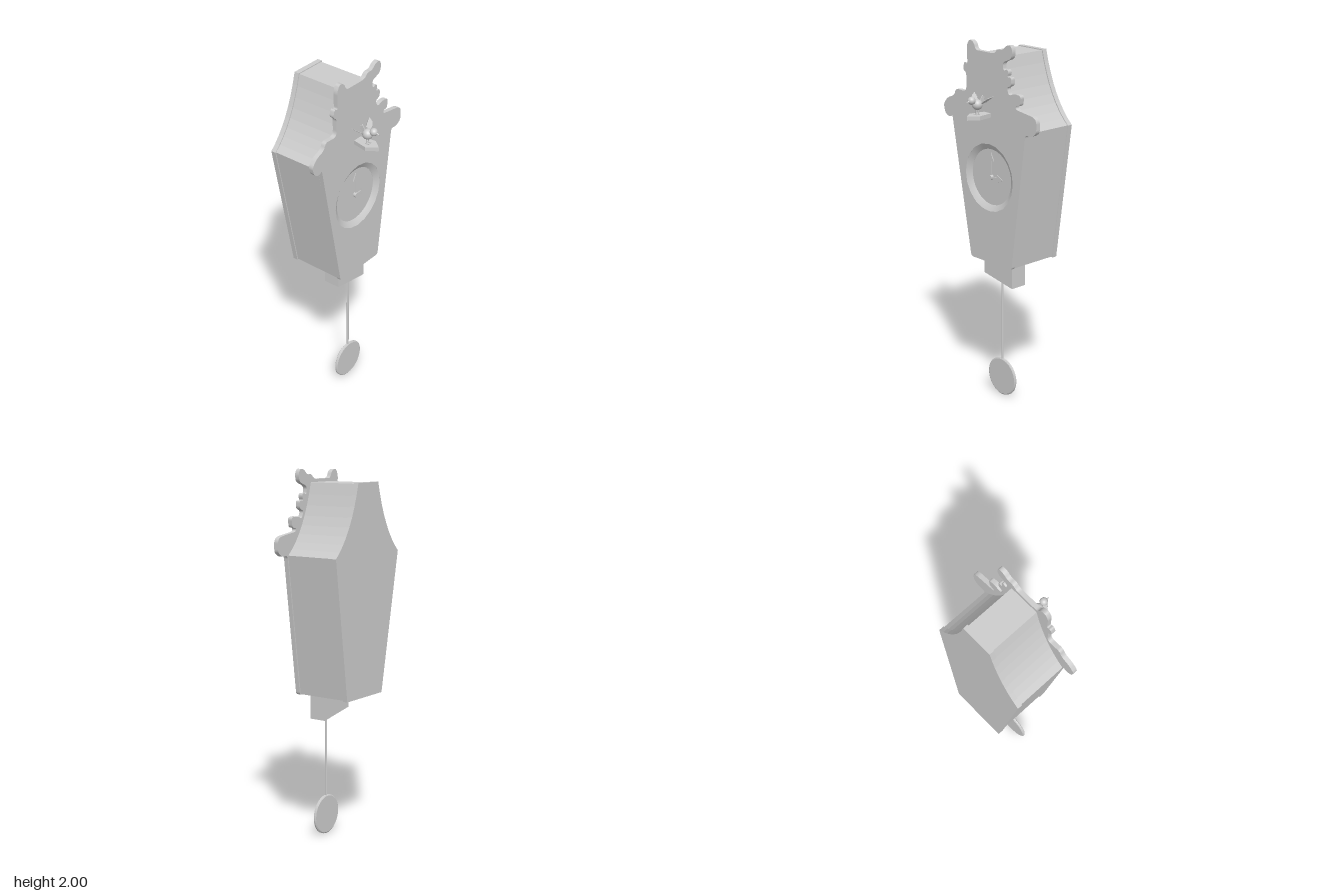
import * as THREE from 'three';

const mat = new THREE.MeshStandardMaterial({ color: 0xcccccc, side: THREE.DoubleSide });
const flat = new THREE.MeshStandardMaterial({ color: 0xcccccc, flatShading: true, side: THREE.DoubleSide });

function add(parent, name, geo, material = mat, x = 0, y = 0, z = 0) {
  const m = new THREE.Mesh(geo, material);
  m.name = name;
  m.position.set(x, y, z);
  parent.add(m);
  return m;
}

// Closed outline whose corners are rounded by up to r
function roundedShape(pts, r) {
  const v = pts.map(p => new THREE.Vector2(p[0], p[1]));
  const s = new THREE.Shape();
  v.forEach((p, i) => {
    const a = v[(i + v.length - 1) % v.length], b = v[(i + 1) % v.length];
    const cut = q => p.clone().lerp(q, Math.min(r / p.distanceTo(q), 0.5));
    const p0 = cut(a), p1 = cut(b);
    if (i === 0) s.moveTo(p0.x, p0.y); else s.lineTo(p0.x, p0.y);
    s.quadraticCurveTo(p.x, p.y, p1.x, p1.y);
  });
  s.closePath();
  return s;
}

const polygon = pts => new THREE.Shape(pts.map(p => new THREE.Vector2(p[0], p[1])));
const slab = (shape, z0, z1) => new THREE.ExtrudeGeometry(shape, {
  depth: z1 - z0, bevelEnabled: false, curveSegments: 8,
}).translate(0, 0, z0);

// House outline with concave roof sides, inset by d
function houseShape(d) {
  const s = new THREE.Shape();
  s.moveTo(-0.145 + d, 0.802 + d);
  s.lineTo(0.177 - d, 0.802 + d);
  s.lineTo(0.279 - d, 1.56);
  s.quadraticCurveTo(0.143 - d, 1.68 - d, 0.082 - d, 1.935 - d);
  s.lineTo(-0.1 + d, 1.935 - d);
  s.quadraticCurveTo(-0.16 + d, 1.68 - d, -0.294 + d, 1.56);
  s.closePath();
  return s;
}

function buildCase(g) {
  add(g, 'caseBody', slab(houseShape(0.005), -0.213, 0.068), flat);
  add(g, 'backPanel', slab(houseShape(0), -0.24, -0.212), flat);

  // Front panel with carved, lobed crest and a round dial opening
  const front = roundedShape([
    [0.177, 0.802], [0.278, 1.56], [0.32, 1.556], [0.357, 1.58], [0.357, 1.645], [0.335, 1.662],
    [0.205, 1.68], [0.205, 1.7], [0.235, 1.7], [0.243, 1.755], [0.193, 1.76], [0.155, 1.743],
    [0.138, 1.785], [0.172, 1.795], [0.172, 1.842], [0.14, 1.835], [0.152, 1.862], [0.14, 1.88],
    [0.113, 1.865], [0.108, 1.91], [0.172, 1.935], [0.18, 1.975], [0.166, 2.004], [0.135, 2.0],
    [0.105, 1.97], [0.07, 1.975], [0.045, 1.946], [-0.1, 1.946], [-0.115, 1.985], [-0.15, 1.997],
    [-0.17, 1.96], [-0.165, 1.86], [-0.19, 1.875], [-0.202, 1.83], [-0.175, 1.815], [-0.175, 1.73],
    [-0.19, 1.714], [-0.26, 1.718], [-0.275, 1.68], [-0.33, 1.658], [-0.363, 1.62], [-0.352, 1.572],
    [-0.315, 1.553], [-0.292, 1.57], [-0.145, 0.802],
  ], 0.018);
  front.holes.push(new THREE.Path().absarc(0, 1.277, 0.185, 0, Math.PI * 2, true));
  add(g, 'frontPanel', new THREE.ExtrudeGeometry(front, {
    depth: 0.025, bevelEnabled: false, curveSegments: 10,
  }).translate(0, 0, 0.07), flat);

  // Slanted block under the case
  add(g, 'bottomBlock', slab(polygon([[-0.098, 0.81], [-0.098, 0.705], [0.123, 0.667], [0.123, 0.81]]),
    -0.055, 0.04), flat);
}

function buildDial(g) {
  const dial = new THREE.Group();
  dial.name = 'dial';
  dial.position.set(0, 1.277, 0);
  g.add(dial);
  const ring = new THREE.LatheGeometry([
    new THREE.Vector2(0.153, 0.072), new THREE.Vector2(0.153, 0.076), new THREE.Vector2(0.185, 0.095),
  ], 48).rotateX(Math.PI / 2);
  add(dial, 'dialBevel', ring);
  add(dial, 'dialFace', new THREE.CircleGeometry(0.155, 48), mat, 0, 0, 0.073);
  add(dial, 'dialHub', new THREE.CylinderGeometry(0.014, 0.014, 0.016, 20).rotateX(Math.PI / 2), mat, 0, 0, 0.081);
  const hand = (name, len, w, angle) => {
    const s = polygon([[-w, 0], [w, 0], [w, len - 0.045], [0.022, len - 0.045], [0, len],
      [-0.022, len - 0.045], [-w, len - 0.045]]);
    add(dial, name, slab(s, 0.077, 0.081), flat).rotation.z = angle;
  };
  hand('minuteHand', 0.135, 0.004, 0);
  hand('hourHand', 0.09, 0.005, -Math.PI / 2);
}

function buildPendulum(g) {
  const p = new THREE.Group();
  p.name = 'pendulum';
  p.position.set(0.018, 0, 0.013);
  g.add(p);
  add(p, 'pendulumRod', new THREE.CylinderGeometry(0.006, 0.006, 0.52, 12), mat, 0, 0.46, 0);
  const disc = new THREE.LatheGeometry([[0, -0.008], [0.103, -0.008], [0.109, -0.004],
    [0.109, 0.004], [0.103, 0.008], [0, 0.008]].map(q => new THREE.Vector2(q[0], q[1])), 48);
  add(p, 'pendulumDisc', disc.rotateX(Math.PI / 2), flat, 0, 0.111, 0);
}

function buildBird(g) {
  // Perch: pointed ledge lying flat
  const ledge = polygon([[-0.035, -0.09], [-0.053, -0.18], [-0.012, -0.235], [0.03, -0.183], [0.017, -0.09]]);
  add(g, 'perch', slab(ledge, 0, 0.022).rotateX(-Math.PI / 2), flat, 0, 1.607, 0);

  const bird = new THREE.Group();
  bird.name = 'bird';
  bird.position.x = -0.012;
  g.add(bird);
  add(bird, 'birdBody', new THREE.SphereGeometry(0.028, 20, 14), mat, 0, 1.681, 0.163);
  add(bird, 'birdHead', new THREE.SphereGeometry(0.021, 20, 14), mat, 0, 1.707, 0.202);
  add(bird, 'beak', new THREE.ConeGeometry(0.007, 0.022, 10).rotateX(Math.PI / 2 + 0.15), mat, 0, 1.703, 0.228);

  // Tail: thin upright fan of feathers
  const tail = roundedShape([[0.15, 1.685], [0.138, 1.712], [0.124, 1.728], [0.126, 1.714],
    [0.112, 1.717], [0.12, 1.703], [0.111, 1.697], [0.128, 1.688], [0.142, 1.672]], 0.004);
  add(bird, 'tail', slab(tail, -0.002, 0.002).rotateY(-Math.PI / 2), flat);

  for (const side of [-1, 1]) {
    const label = side > 0 ? 'left' : 'right';
    // Wing: feathered outline raised towards its tip
    const wing = roundedShape([[0.015, -0.158], [0.043, -0.159], [0.06, -0.147], [0.074, -0.115],
      [0.062, -0.122], [0.058, -0.116], [0.052, -0.125], [0.044, -0.12], [0.041, -0.129],
      [0.029, -0.125], [0.031, -0.138], [0.015, -0.148]].map(p => [p[0] * side, p[1]]), 0.005);
    const geo = slab(wing, -0.002, 0.002).rotateX(-Math.PI / 2);
    const pos = geo.attributes.position;
    for (let i = 0; i < pos.count; i++) {
      pos.setY(i, pos.getY(i) + 1.67 + 0.8 * Math.abs(pos.getX(i)));
    }
    geo.computeVertexNormals();
    add(bird, label + 'Wing', geo, flat);
    add(bird, label + 'Leg', new THREE.CylinderGeometry(0.0025, 0.0025, 0.04, 8), mat, side * 0.009, 1.643, 0.163);
    add(bird, label + 'Foot', new THREE.BoxGeometry(0.008, 0.005, 0.022), flat, side * 0.009, 1.631, 0.168);
  }
}

export function createModel() {
  const model = new THREE.Group();
  model.name = 'wallClock';
  buildCase(model);
  buildDial(model);
  buildPendulum(model);
  buildBird(model);
  return model;
}
